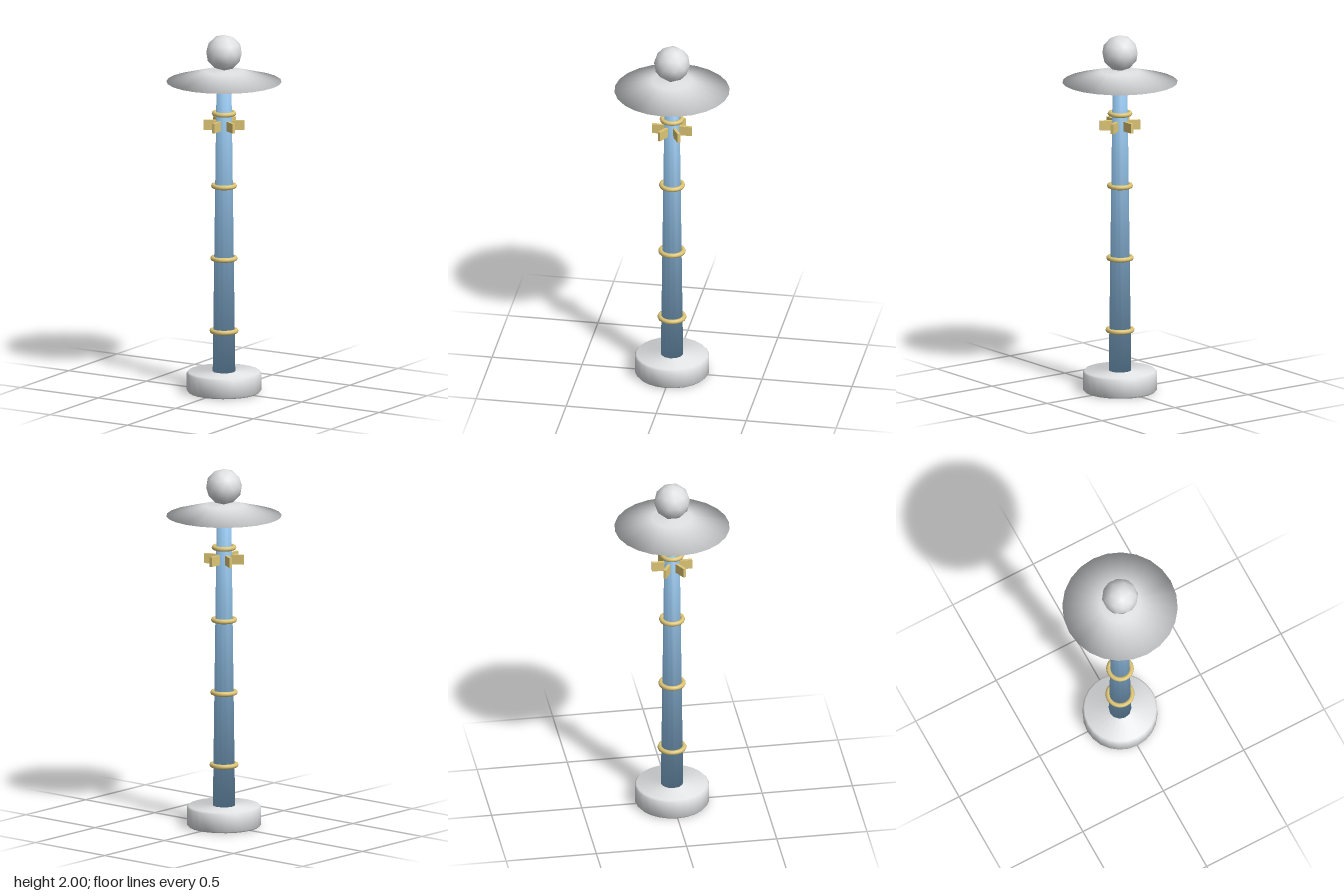
import * as THREE from 'three';

export function createModel() {
  const model = new THREE.Group();
  const mat = (name, color) => {
    const m = new THREE.MeshStandardMaterial({ color, side: THREE.DoubleSide });
    m.name = name;
    return m;
  };
  const white = mat('paleGrey', 0xdfe1e2);
  const blue = mat('skyBlue', 0x8fbfe6);
  const gold = mat('gold', 0xdfc777);

  const add = (name, geometry, material, parent = model) => {
    const mesh = new THREE.Mesh(geometry, material);
    mesh.name = name;
    parent.add(mesh);
    return mesh;
  };
  // Closed turned solid, smooth over every corner: each ring takes the even mean of the
  // two slopes it joins, and the end caps keep the normals of their rims
  const turned = (profile, segments) => {
    const points = profile.map(([r, y]) => new THREE.Vector2(r, y));
    const geometry = new THREE.LatheGeometry(points, segments);
    const n = points.length;
    const slope = (i) => {
      const d = points[i + 1].clone().sub(points[i]).normalize();
      return new THREE.Vector2(d.y, -d.x);
    };
    const means = points.map((_, j) => {
      const k = THREE.MathUtils.clamp(j, 1, n - 2);
      return slope(k - 1).add(slope(k)).normalize();
    });
    for (let i = 0; i <= segments; i++) {
      const a = (i / segments) * Math.PI * 2;
      means.forEach((m, j) => {
        geometry.attributes.normal.setXYZ(i * n + j, m.x * Math.sin(a), m.y, m.x * Math.cos(a));
      });
    }
    return geometry;
  };

  // Round foot with small bevels
  add('base', turned([[0, 0], [0.195, 0], [0.204, 0.01], [0.204, 0.105], [0.195, 0.115], [0, 0.115]], 24), white);

  // Tapered pole
  add('pole', turned([[0, 0.11], [0.062, 0.11], [0.04, 1.79], [0, 1.79]], 12), blue);

  // Four collars, shrinking with the taper
  for (let i = 0; i < 4; i++) {
    const ring = add('collar', new THREE.TorusGeometry(0.0665 - i * 0.004, 0.0132, 8, 24), gold);
    ring.rotation.x = Math.PI / 2;
    ring.position.y = 0.342 + i * 0.406;
  }

  // Six small fins around the neck
  const fins = new THREE.Group();
  fins.name = 'fins';
  fins.position.y = 1.495;
  for (let i = 0; i < 6; i++) {
    const a = (i * Math.PI) / 3;
    const fin = add('fin', new THREE.BoxGeometry(0.016, 0.054, 0.076), gold, fins);
    fin.position.set(Math.sin(a) * 0.073, 0, Math.cos(a) * 0.073);
    fin.rotation.y = a;
  }
  model.add(fins);

  // Wide shallow shade
  add('shade', turned([[0, 1.738], [0.316, 1.738], [0.108, 1.797], [0, 1.797]], 24), white);

  // Ball on top, turned to stand on one of its corners
  const ball = add('ball', new THREE.IcosahedronGeometry(0.1, 1), white);
  ball.rotation.z = Math.atan(2 / (1 + Math.sqrt(5)));
  ball.position.y = 1.9;

  return model;
}
